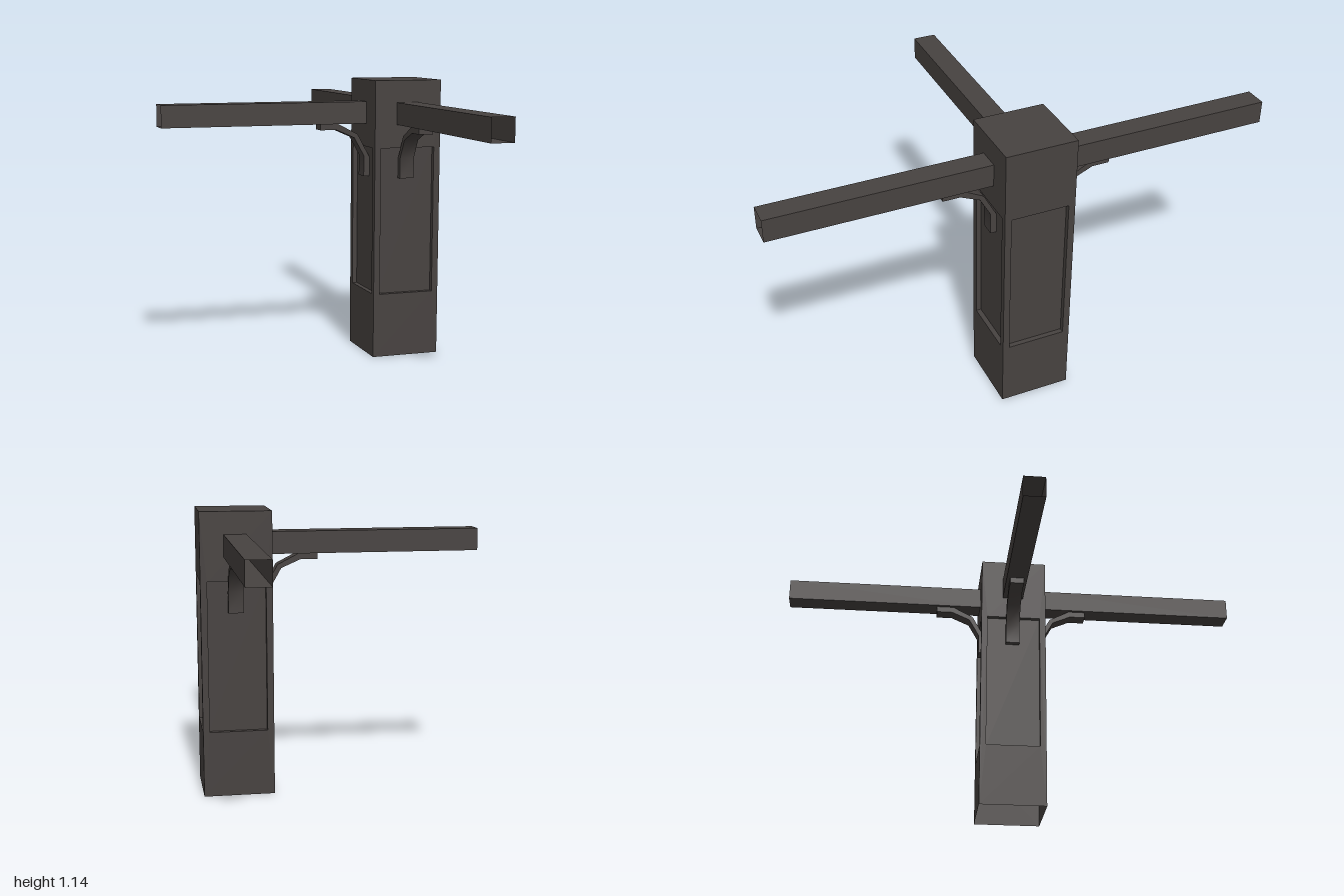
import * as THREE from 'three';
import { mergeGeometries, toCreasedNormals } from 'three/addons/utils/BufferGeometryUtils.js';

const HALF = 0.1425, HEIGHT = 1.145;   // post
const REACH = 1, BEAM = 0.09, BEAM_Y = 1.01;
const PANEL_W = 0.232, PANEL_LOW = 0.265, PANEL_HIGH = 0.87, DEPTH = 0.02;

// Four-walled sleeve along z, open at both ends; walls face outward or inward
function sleeve(w, h, d, inward = false) {
  const walls = [];
  for (let i = 0; i < 4; i++) {
    const [span, dist] = i % 2 ? [h, w / 2] : [w, h / 2];
    const g = new THREE.PlaneGeometry(span, d).rotateX(-Math.PI / 2);
    if (inward) g.rotateZ(Math.PI);
    g.translate(0, inward ? -dist : dist, 0).rotateZ(i * Math.PI / 2);
    walls.push(g);
  }
  return mergeGeometries(walls);
}

// One post side facing +z, with a rectangular opening
function sideFace() {
  const s = new THREE.Shape([[-HALF, 0], [HALF, 0], [HALF, HEIGHT], [-HALF, HEIGHT]]
    .map(p => new THREE.Vector2(...p)));
  const w = PANEL_W / 2;
  s.holes.push(new THREE.Path([[-w, PANEL_LOW], [-w, PANEL_HIGH], [w, PANEL_HIGH], [w, PANEL_LOW]]
    .map(p => new THREE.Vector2(...p))));
  return new THREE.ShapeGeometry(s).translate(0, 0, HALF);
}

// Curved support strap: profile of outward distance and height
function bracketGeometry() {
  const profile = [
    [0.337, 0.965], [0.337, 0.94], [0.268, 0.94], [0.19, 0.906], [0.147, 0.83], [0.147, 0.745],
    [0.1225, 0.745], [0.1225, 0.825], [0.175, 0.92], [0.262, 0.965],
  ].map(p => new THREE.Vector2(...p));
  const g = new THREE.ExtrudeGeometry(new THREE.Shape(profile), { depth: 0.06, bevelEnabled: false });
  g.translate(0, 0, -0.03).rotateY(-Math.PI / 2);
  return toCreasedNormals(g, 0.8);
}

export function createModel() {
  const model = new THREE.Group();
  model.name = 'postWithBeams';
  const iron = new THREE.MeshStandardMaterial({ color: 0x474240, side: THREE.DoubleSide });
  iron.name = 'darkBrownGrey';

  const add = (parent, name, geometry) => {
    const mesh = new THREE.Mesh(geometry, iron);
    mesh.name = name;
    parent.add(mesh);
    return mesh;
  };

  const body = new THREE.Group();
  body.name = 'postAndArms';
  body.position.x = 0.4275;
  model.add(body);

  // Post: four sides with recessed panels, closed top, open bottom
  const panelH = PANEL_HIGH - PANEL_LOW, panelY = (PANEL_HIGH + PANEL_LOW) / 2;
  for (let i = 0; i < 4; i++) {
    const side = new THREE.Group();
    side.name = 'postSide' + (i + 1);
    side.rotation.y = i * Math.PI / 2;
    add(side, 'sideFrame', sideFace());
    add(side, 'panelRim', sleeve(PANEL_W, panelH, DEPTH, true)).position.set(0, panelY, HALF - DEPTH / 2);
    add(side, 'panel', new THREE.PlaneGeometry(PANEL_W, panelH)).position.set(0, panelY, HALF - DEPTH);
    body.add(side);
  }
  add(body, 'postTop', new THREE.PlaneGeometry(2 * HALF, 2 * HALF).rotateX(-Math.PI / 2)).position.y = HEIGHT;

  // Three hollow beams, each with a strap bracket below
  const length = REACH - HALF;
  for (const [name, turn] of [['front', 0], ['right', -Math.PI / 2], ['back', Math.PI]]) {
    const arm = new THREE.Group();
    arm.name = name + 'Arm';
    arm.rotation.y = turn;
    add(arm, 'beam', sleeve(BEAM, BEAM, length)).position.set(-0.004, BEAM_Y, HALF + length / 2);
    add(arm, 'bracket', bracketGeometry()).position.x = -0.004;
    body.add(arm);
  }
  return model;
}
